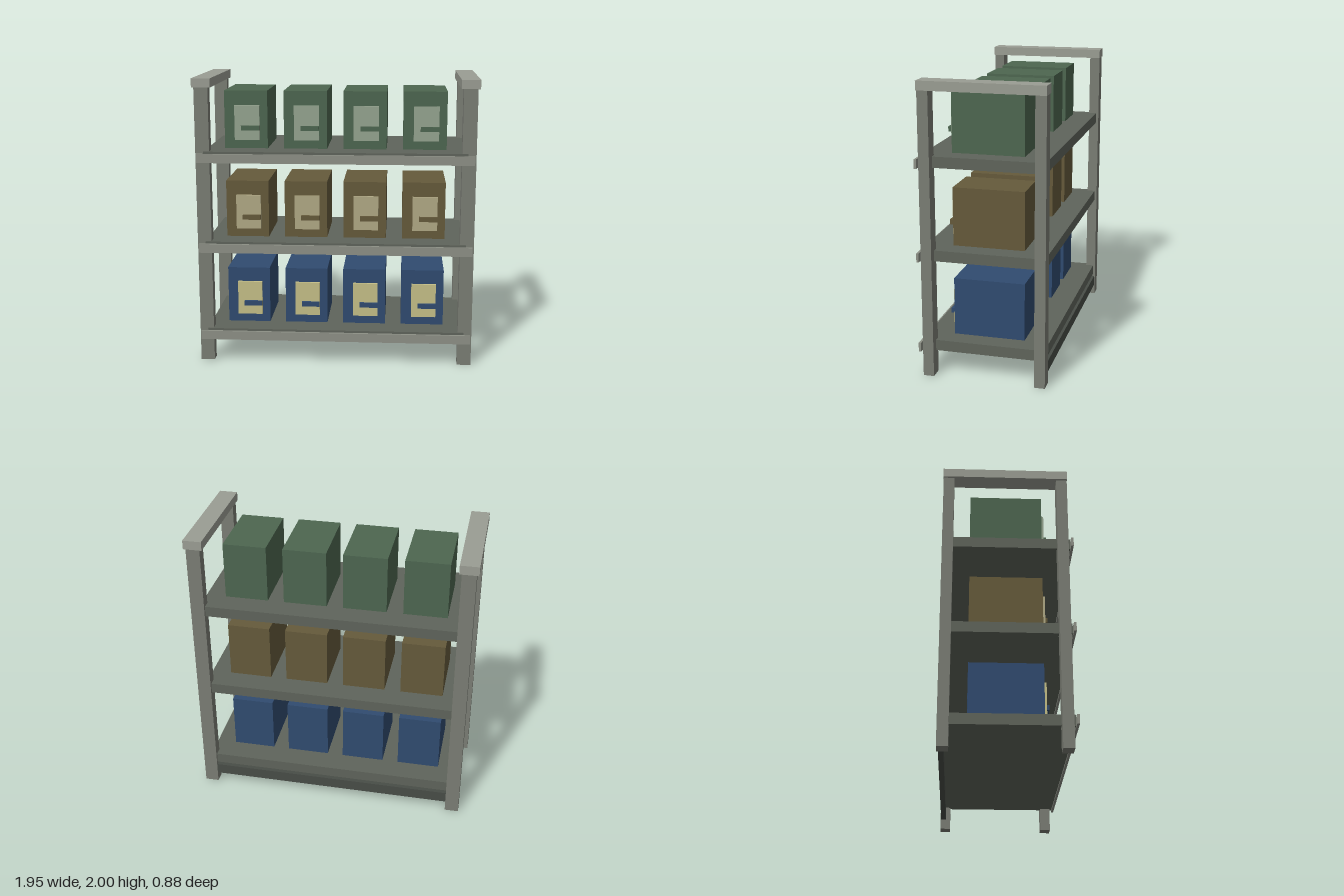
import * as THREE from 'three';

const paint = (color) => new THREE.MeshStandardMaterial({ color });

// Box given by its extents along each axis
function box(parent, name, mat, [x0, x1], [y0, y1], [z0, z1]) {
  const mesh = new THREE.Mesh(new THREE.BoxGeometry(x1 - x0, y1 - y0, z1 - z0), mat);
  mesh.position.set((x0 + x1) / 2, (y0 + y1) / 2, (z0 + z1) / 2);
  mesh.name = name;
  parent.add(mesh);
  return mesh;
}

// Storage bin with label plate and pull handle, base at its origin
function makeBin(bodyMat, labelMat) {
  const bin = new THREE.Group();
  bin.name = 'bin';
  box(bin, 'binBody', bodyMat, [-0.15, 0.15], [0, 0.4], [-0.25, 0.24]);
  box(bin, 'binLabel', labelMat, [-0.078, 0.096], [0.06, 0.3], [0.235, 0.26]);
  box(bin, 'binHandle', bodyMat, [-0.031, 0.096], [0.128, 0.162], [0.26, 0.28]);
  return bin;
}

export function createModel() {
  const model = new THREE.Group();
  model.name = 'shelvingRack';

  const postMat = paint(0x7a7d74);
  const capMat = paint(0x9a9d93);
  const railMat = paint(0x8d9086);
  const shelfMat = paint(0x5f645b);
  const braceMat = paint(0x484d47);

  // End frames: two posts joined by a top cap on each side
  for (const side of [-1, 1]) {
    const frame = new THREE.Group();
    frame.name = side > 0 ? 'leftFrame' : 'rightFrame';
    box(frame, 'frontPost', postMat, [-0.048, 0.048], [0, 1.94], [0.33, 0.403]);
    box(frame, 'backPost', postMat, [-0.048, 0.048], [0, 1.94], [-0.435, -0.362]);
    box(frame, 'topCap', capMat, [-0.064, 0.064], [1.938, 2], [-0.438, 0.404]);
    frame.position.x = side * 0.909;
    model.add(frame);
  }

  // Low brace across the back
  box(model, 'backBrace', braceMat, [-0.88, 0.88], [0.072, 0.15], [-0.43, -0.395]);

  // Shelves from bottom to top, each with a front rail and four bins
  const levels = [
    { top: 0.24, body: 0x304b70, label: 0xc5bf87 },
    { top: 0.872, body: 0x655a3b, label: 0xb0a985 },
    { top: 1.504, body: 0x4d6650, label: 0x95a48f },
  ];
  for (const { top, body, label } of levels) {
    const level = new THREE.Group();
    level.name = 'shelfLevel';
    box(level, 'shelf', shelfMat, [-0.9, 0.9], [-0.074, 0], [-0.418, 0.418]);
    box(level, 'frontRail', railMat, [-0.946, 0.946], [-0.076, -0.014], [0.421, 0.438]);

    const bodyMat = paint(body);
    const labelMat = paint(label);
    for (let i = 0; i < 4; i++) {
      const bin = makeBin(bodyMat, labelMat);
      bin.position.x = -0.628 + i * 0.4135;
      level.add(bin);
    }
    level.position.y = top;
    model.add(level);
  }

  return model;
}
